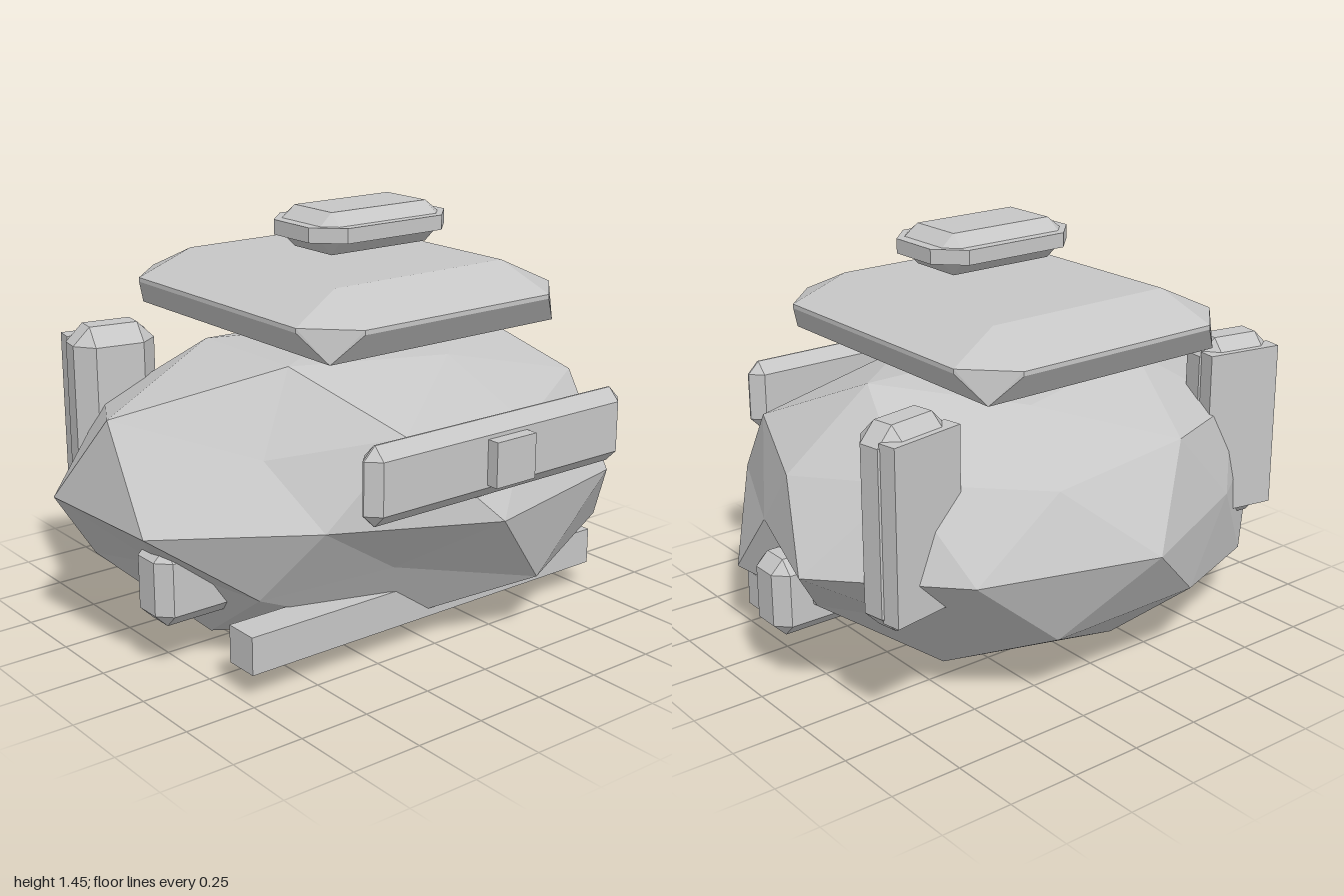
import * as THREE from 'three';
import { ConvexGeometry } from 'three/addons/geometries/ConvexGeometry.js';

const CX = 0.02; // shared symmetry line of all parts

// All sign combinations of a corner point
function corners(x, y, z) {
  const out = [];
  for (const sx of [-1, 1]) for (const sy of [-1, 1]) for (const sz of [-1, 1])
    out.push(new THREE.Vector3(x * sx, y * sy, z * sz));
  return out;
}

// Box given by half sizes, with every edge cut by bevel b
function bevelBox(hx, hy, hz, b) {
  return new ConvexGeometry([
    ...corners(hx, hy - b, hz - b),
    ...corners(hx - b, hy, hz - b),
    ...corners(hx - b, hy - b, hz),
  ]);
}

// Horizontal slices: [y, half width, half depth, corner cut]
function slab(slices) {
  const pts = [];
  for (const [y, hx, hz, cut] of slices)
    for (const sx of [-1, 1]) for (const sz of [-1, 1]) {
      pts.push(new THREE.Vector3(sx * (hx - cut), y, sz * hz));
      if (cut > 0) pts.push(new THREE.Vector3(sx * hx, y, sz * (hz - cut)));
    }
  return new ConvexGeometry(pts);
}

// Faceted boulder: a subdivided icosahedron standing on a corner, squashed,
// with its own radius for every vertex. Rings run anticlockwise from above.
function boulderGeometry() {
  const ring = (radii, start, step, h, v) => radii.map((r, i) => {
    const a = THREE.MathUtils.degToRad(start + step * i);
    return [CX + r * h * Math.cos(a), 0.53 + 0.54 * r * v, -0.02 - 0.79 * r * h * Math.sin(a)];
  });
  // Ring of ten that alternates icosahedron corners with edge midpoints
  const mixedRing = (cornerRadii, midRadii, cornerStart, midStart, sign) => {
    const c = ring(cornerRadii, cornerStart, 72, 0.894, 0.447 * sign);
    const m = ring(midRadii, midStart, 72, 0.851, 0.526 * sign);
    return cornerStart < midStart ? c.flatMap((p, i) => [p, m[i]]) : m.flatMap((p, i) => [p, c[i]]);
  };
  const top = [CX, 1.005, -0.02], bottom = [CX, 0, -0.02];
  const crown = ring([1.03, 0.89, 0.98, 0.99, 0.93], 0, 72, 0.526, 0.851);
  const upper = mixedRing([0.96, 0.95, 1.0, 0.82, 0.95], [1.0, 0.99, 1.12, 1.02, 1.02], 0, 36, 1);
  const belt = ring([1.03, 1.02, 1.05, 0.92, 1.07, 1.04, 0.88, 1.04, 1.06, 0.87], 18, 36, 1, 0);
  // lower ring listed from 0 degrees, then turned to start at 36
  const low = mixedRing([0.87, 1.02, 0.88, 0.8, 1.11], [0.9, 1.0, 1.12, 0.92, 1.08], 36, 0, -1);
  const lower = [...low.slice(1), low[0]];
  const base = ring([1.02, 1.05, 1.11, 1.0, 1.03], 36, 72, 0.526, -0.851);

  const pos = [];
  const tri = (a, b, c) => pos.push(...a, ...b, ...c);
  for (let k = 0; k < 5; k++) {
    const n = (k + 1) % 5, j = 2 * k, j1 = j + 1, j2 = (j + 2) % 10;
    tri(top, crown[k], crown[n]);
    tri(crown[k], upper[j], upper[j1]);
    tri(crown[k], upper[j1], crown[n]);
    tri(crown[n], upper[j1], upper[j2]);
    tri(low[j], base[k], low[j1]);
    tri(low[j1], base[k], low[j2]);
    tri(low[j2], base[k], base[n]);
    tri(base[k], bottom, base[n]);
  }
  // belt vertices sit halfway between neighbours of the rings above and below
  for (let j = 0; j < 10; j++) {
    const n = (j + 1) % 10;
    tri(upper[j], belt[j], upper[n]);
    tri(upper[n], belt[j], belt[n]);
    tri(belt[j], lower[j], belt[n]);
    tri(belt[j], low[j], lower[j]);
  }
  const g = new THREE.BufferGeometry();
  g.setAttribute('position', new THREE.Float32BufferAttribute(pos, 3));
  g.computeVertexNormals();
  return g;
}

export function createModel() {
  const model = new THREE.Group();
  const grey = new THREE.MeshStandardMaterial({ color: 0xc6c6c6 });
  grey.name = 'stoneGrey';

  const add = (name, geometry, x = 0, y = 0, z = 0, parent = model) => {
    const mesh = new THREE.Mesh(geometry, grey);
    mesh.name = name;
    mesh.position.set(x, y, z);
    parent.add(mesh);
    return mesh;
  };

  add('boulderBody', boulderGeometry());

  // Floating roof slab with cut corners
  add('roofSlab', slab([
    [1.06, 0.475, 0.54, 0],
    [1.155, 0.54, 0.605, 0.15],
    [1.17, 0.54, 0.605, 0.15],
    [1.26, 0.355, 0.41, 0],
  ]), CX, 0, -0.03);

  // Cap above the roof, with a thin flange round its middle
  add('capBody', slab([
    [1.31, 0.2, 0.1, 0],
    [1.36, 0.25, 0.15, 0.045],
    [1.41, 0.25, 0.15, 0.045],
    [1.45, 0.2, 0.1, 0],
  ]), CX, 0, 0.065);
  add('capFlange', slab([
    [1.36, 0.29, 0.185, 0.09],
    [1.41, 0.29, 0.185, 0.09],
  ]), CX, 0, 0.065);

  // Front band and its square badge
  add('frontBand', bevelBox(0.543, 0.128, 0.045, 0.042), CX, 0.747, 0.757);
  add('frontBadge', new THREE.BoxGeometry(0.165, 0.15, 0.13), CX, 0.745, 0.78);

  // Low cross bar
  add('crossBar', new THREE.BoxGeometry(1.5, 0.13, 0.125), CX, 0.155, 0.405);

  for (const side of [-1, 1]) {
    const label = side > 0 ? 'left' : 'right';

    // Upright rear pod with a flat back plate, turned slightly outward
    const pod = new THREE.Group();
    pod.name = label + 'RearPod';
    pod.position.set(CX + side * 0.692, 0.708, -0.435);
    pod.rotation.y = side * THREE.MathUtils.degToRad(10);
    model.add(pod);
    add(label + 'PodBody', bevelBox(0.145, 0.337, 0.097, 0.06), 0, 0, 0, pod);
    add(label + 'PodPlate', new THREE.BoxGeometry(0.28, 0.585, 0.065), 0, 0.002, -0.07, pod);

    // Side block half sunk into the boulder
    add(label + 'SideBlock', bevelBox(0.2, 0.137, 0.092, 0.045), CX + side * 0.697, 0.307, 0.09);
  }
  return model;
}
